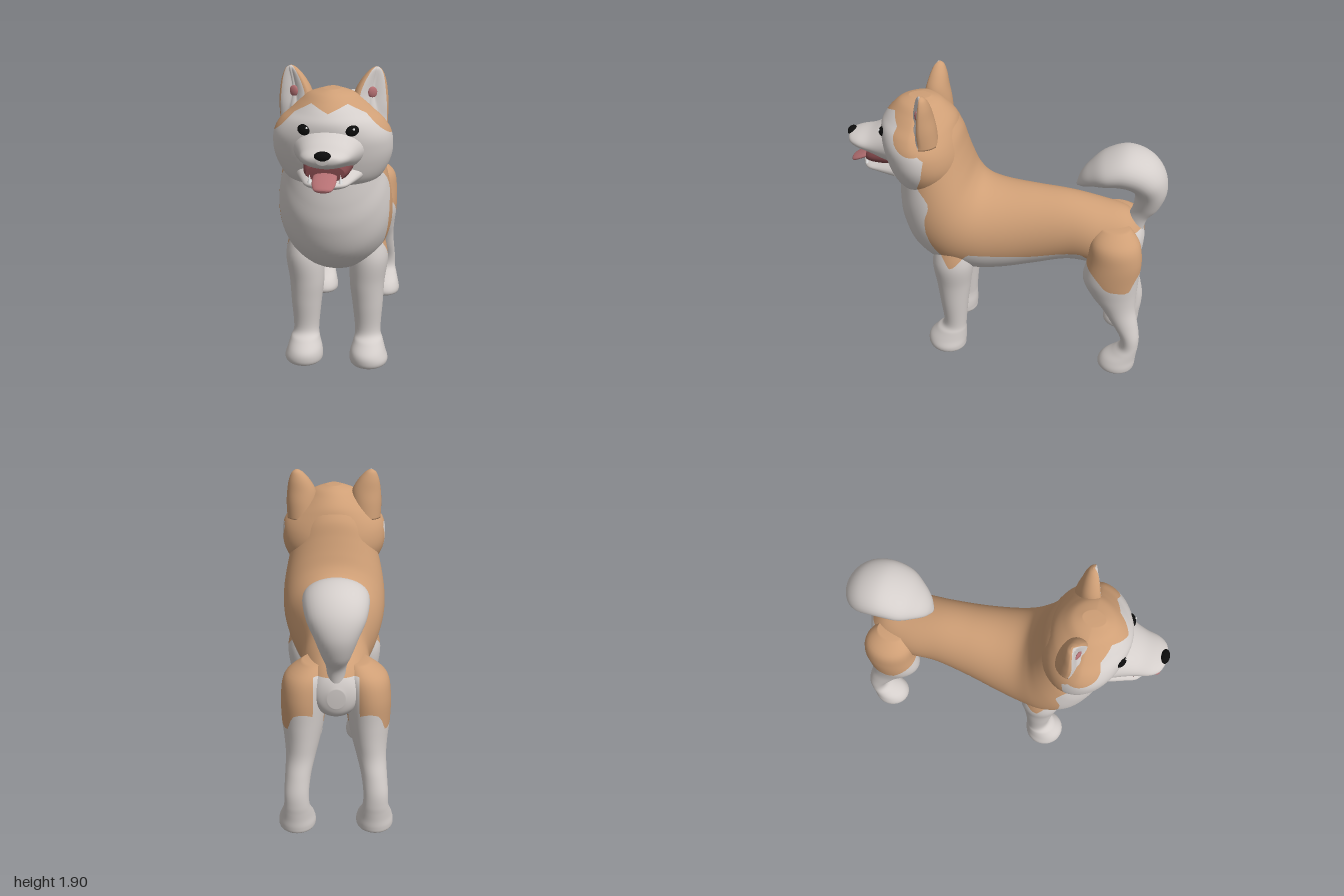
import * as THREE from 'three';

const material = (name, color, extra = {}) =>
  Object.assign(new THREE.MeshStandardMaterial({ color, ...extra }), { name });
const white = material('cream fur', 0xd4cecb);
const tan = material('tan fur', 0xcf9f76);
const black = material('black', 0x0c0c0c);
const pink = material('tongue pink', 0xb57073);
const maroon = material('mouth maroon', 0x7d4548);
const shine = material('eye shine', 0xf4f4f4);

// Smooth interpolation through rows of numbers, t in 0..1
function spline(rows, t) {
  const s = t * (rows.length - 1), i = Math.min(Math.floor(s), rows.length - 2), f = s - i;
  const row = k => rows[Math.max(0, Math.min(rows.length - 1, k))];
  return rows[i].map((b, c) => {
    const a = row(i - 1)[c], d = row(i + 1)[c], e = row(i + 2)[c];
    return b + 0.5 * f * (d - a + f * (2 * a - 5 * b + 4 * d - e + f * (3 * (b - d) + e - a)));
  });
}

// Straight interpolation through [key, value] pairs
function ramp(pairs, k) {
  if (k <= pairs[0][0]) return pairs[0][1];
  for (let i = 1; i < pairs.length; i++) {
    const [a, va] = pairs[i - 1], [b, vb] = pairs[i];
    if (k <= b) return va + (vb - va) * (k - a) / (b - a);
  }
  return pairs[pairs.length - 1][1];
}

// Cuts every triangle along sign = 0, giving one group on each side
function splitByColour(geo, sign) {
  const P = geo.attributes.position, N = geo.attributes.normal, idx = geo.index.array;
  const verts = sign.map((f, i) => ({
    f, p: new THREE.Vector3().fromBufferAttribute(P, i), n: new THREE.Vector3().fromBufferAttribute(N, i),
  }));
  const out = new THREE.BufferGeometry(), pos = [], nor = [];
  [-1, 1].forEach((side, group) => {
    const start = pos.length / 3;
    for (let t = 0; t < idx.length; t += 3) {
      const poly = [];
      for (let k = 0; k < 3; k++) {
        const a = verts[idx[t + k]], b = verts[idx[t + (k + 1) % 3]];
        if (a.f * side > 0) poly.push(a);
        if (a.f * b.f < 0) {
          const m = a.f / (a.f - b.f);
          poly.push({ p: a.p.clone().lerp(b.p, m), n: a.n.clone().lerp(b.n, m).normalize() });
        }
      }
      for (let k = 2; k < poly.length; k++)
        for (const v of [poly[0], poly[k - 1], poly[k]]) { pos.push(...v.p); nor.push(...v.n); }
    }
    out.addGroup(start, pos.length / 3 - start, group);
  });
  out.setAttribute('position', new THREE.Float32BufferAttribute(pos, 3));
  out.setAttribute('normal', new THREE.Float32BufferAttribute(nor, 3));
  return out;
}

// Closed skin over rings point(u, angle) -> [x, y, z]; isTan(x, y, z, u, angle) > 0 is tan
function skin(name, point, nu, nv, mat, isTan) {
  const pos = [], sign = [], index = [];
  const add = (p, u, a) => { pos.push(...p); if (isTan) sign.push(isTan(...p, u, a) || 1e-7); };
  for (let i = 0; i <= nu; i++)
    for (let j = 0; j < nv; j++) add(point(i / nu, j / nv * Math.PI * 2), i / nu, j / nv * Math.PI * 2);
  for (let i = 0; i < nu; i++)
    for (let j = 0; j < nv; j++) {
      const a = i * nv + j, b = i * nv + (j + 1) % nv;
      index.push(a, b, a + nv, b, b + nv, a + nv);
    }
  for (const u of [0, 1]) {
    const p = point(u, 0), q = point(u, Math.PI), c = pos.length / 3, r = u * nu * nv;
    add(p.map((v, k) => (v + q[k]) / 2), u, 0);
    for (let j = 0; j < nv; j++) {
      const a = r + j, b = r + (j + 1) % nv;
      index.push(...(u ? [c, a, b] : [c, b, a]));
    }
  }
  // Turn the faces outwards
  const v = k => new THREE.Vector3(...pos.slice(index[k] * 3, index[k] * 3 + 3));
  let volume = 0;
  for (let k = 0; k < index.length; k += 3) volume += v(k).dot(v(k + 1).cross(v(k + 2)));
  if (volume < 0) index.reverse();
  let geo = new THREE.BufferGeometry().setIndex(index);
  geo.setAttribute('position', new THREE.Float32BufferAttribute(pos, 3));
  geo.computeVertexNormals();
  if (isTan) geo = splitByColour(geo, sign);
  const mesh = new THREE.Mesh(geo, isTan ? [white, tan] : mat);
  mesh.name = name;
  return mesh;
}

// Rows [z, y of one edge, z, y of the opposite edge, half width]
const fan = rows => (u, a) => {
  const [z1, y1, z2, y2, w] = spline(rows, u), c = Math.cos(a) / 2;
  return [Math.max(w, 0) * Math.sin(a), (y1 + y2) / 2 + (y1 - y2) * c, (z1 + z2) / 2 + (z1 - z2) * c];
};
// Rows [y, x centre, z centre, x radius, z radius]
const column = (rows, side) => (u, a) => {
  const [y, x, z, rx, rz] = spline(rows, u);
  return [side * (x + rx * Math.cos(a)), Math.max(y, 0), z + rz * Math.sin(a)];
};

// Coat markings
const chestEdge = [[0.72, 0.31], [0.8, 0.36], [0.9, 0.42], [1, 0.45], [1.1, 0.455], [1.2, 0.42],
  [1.25, 0.45], [1.3, 0.5], [1.4, 0.46], [1.52, 0.44], [1.56, 0.5], [1.62, 0.9]];
const flankEdge = [[-0.9, 0.8], [-0.86, 0.76], [-0.82, 0.66], [-0.68, 0.68], [-0.62, 0.75], [-0.5, 0.85],
  [-0.2, 0.81], [0, 0.82], [0.2, 0.84], [0.25, 0.78], [0.31, 0.72], [0.4, 0.8]];
const maskEdge = [[0, 1.68], [0.1, 1.725], [0.2, 1.67], [0.28, 1.59], [0.34, 1.54]];
const coat = (x, y, z) => Math.min(ramp(chestEdge, y) - z, y - ramp(flankEdge, z),
  Math.max(Math.abs(x) - 0.13, z + 0.76, y - 1.0));
const faceCoat = (x, y, z) => Math.max(y - ramp(maskEdge, Math.abs(x)), ramp(chestEdge, Math.min(y, 1.54)) - z);

const bodyRows = [[-0.885, 0.94, -0.875, 0.82, 0.05], [-0.85, 1.02, -0.84, 0.76, 0.12],
  [-0.76, 1.11, -0.72, 0.71, 0.17], [-0.6, 1.15, -0.55, 0.72, 0.2], [-0.4, 1.19, -0.4, 0.72, 0.2],
  [-0.2, 1.205, -0.18, 0.66, 0.225], [0, 1.22, 0.02, 0.615, 0.265], [0.12, 1.25, 0.2, 0.605, 0.3],
  [0.18, 1.31, 0.42, 0.66, 0.335], [0.215, 1.4, 0.58, 0.79, 0.338], [0.245, 1.5, 0.655, 0.97, 0.315],
  [0.27, 1.59, 0.67, 1.12, 0.285], [0.31, 1.66, 0.665, 1.26, 0.265]];
const tailRows = [[-0.87, 0.95, -0.76, 1.05, 0.05], [-0.89, 1.05, -0.79, 1.12, 0.06],
  [-0.955, 1.14, -0.8, 1.17, 0.085], [-0.995, 1.27, -0.8, 1.23, 0.12], [-0.97, 1.4, -0.78, 1.275, 0.16],
  [-0.88, 1.5, -0.74, 1.295, 0.18], [-0.74, 1.54, -0.69, 1.3, 0.185], [-0.6, 1.49, -0.62, 1.295, 0.17],
  [-0.51, 1.41, -0.55, 1.285, 0.12], [-0.46, 1.34, -0.49, 1.265, 0.07], [-0.44, 1.27, -0.455, 1.26, 0.02]];
// Rows [y, z back, z front, half width]
const headRows = [[1.24, 0.33, 0.65, 0.24], [1.3, 0.28, 0.7, 0.29], [1.38, 0.25, 0.73, 0.33],
  [1.46, 0.25, 0.75, 0.345], [1.55, 0.27, 0.765, 0.335], [1.62, 0.29, 0.765, 0.295], [1.67, 0.31, 0.74, 0.24],
  [1.72, 0.35, 0.7, 0.185], [1.765, 0.4, 0.65, 0.13], [1.79, 0.46, 0.59, 0.05]];
const muzzleRows = [[0.66, 1.64, 0.66, 1.34, 0.22], [0.76, 1.59, 0.75, 1.36, 0.175],
  [0.84, 1.55, 0.82, 1.39, 0.148], [0.92, 1.53, 0.9, 1.42, 0.128], [0.97, 1.515, 0.96, 1.44, 0.09],
  [0.99, 1.5, 0.985, 1.46, 0.03]];
const jawRows = [[0.66, 1.4, 0.66, 1.26, 0.19], [0.78, 1.365, 0.78, 1.275, 0.145],
  [0.86, 1.345, 0.86, 1.288, 0.11], [0.9, 1.33, 0.9, 1.305, 0.04]];
const mouthRows = [[0.7, 1.47, 0.7, 1.32, 0.14], [0.82, 1.45, 0.82, 1.325, 0.125], [0.865, 1.43, 0.865, 1.335, 0.105]];
const tongueRows = [[0.8, 1.39, 0.8, 1.36, 0.06], [0.87, 1.385, 0.86, 1.35, 0.065],
  [0.93, 1.36, 0.92, 1.325, 0.065], [0.975, 1.335, 0.965, 1.305, 0.05], [0.985, 1.322, 0.98, 1.308, 0.02]];
const frontLegRows = [[0.88, 0.2, 0.31, 0.08, 0.1], [0.72, 0.2, 0.315, 0.115, 0.13], [0.55, 0.188, 0.315, 0.108, 0.112],
  [0.4, 0.192, 0.315, 0.095, 0.093], [0.22, 0.195, 0.315, 0.08, 0.076], [0.16, 0.2, 0.34, 0.092, 0.1],
  [0.1, 0.2, 0.365, 0.11, 0.125], [0.05, 0.205, 0.37, 0.12, 0.127], [0.015, 0.205, 0.365, 0.108, 0.115],
  [0, 0.205, 0.365, 0.06, 0.07]];
const hindLegRows = [[1.05, 0.12, -0.7, 0.07, 0.09], [0.97, 0.165, -0.71, 0.125, 0.15], [0.85, 0.185, -0.715, 0.13, 0.168],
  [0.7, 0.19, -0.7, 0.125, 0.175], [0.58, 0.195, -0.725, 0.105, 0.145], [0.48, 0.205, -0.765, 0.087, 0.107],
  [0.38, 0.22, -0.81, 0.076, 0.085], [0.28, 0.23, -0.85, 0.072, 0.064], [0.2, 0.23, -0.855, 0.074, 0.06],
  [0.15, 0.23, -0.83, 0.086, 0.08], [0.1, 0.23, -0.795, 0.1, 0.11], [0.05, 0.23, -0.78, 0.11, 0.122],
  [0.015, 0.23, -0.78, 0.1, 0.11], [0, 0.23, -0.78, 0.05, 0.06]];
const earRows = [[1.58, 0.21, 0.47, 0.1, 0.1], [1.68, 0.212, 0.478, 0.103, 0.098], [1.76, 0.215, 0.475, 0.095, 0.08],
  [1.83, 0.228, 0.468, 0.07, 0.06], [1.88, 0.24, 0.462, 0.038, 0.036], [1.9, 0.243, 0.458, 0.01, 0.01]];

const headPoint = (u, a) => {
  const [y, back, front, w] = spline(headRows, u);
  const s = Math.sin(a), pinch = 0.4 * THREE.MathUtils.smoothstep(y, 1.5, 1.7);
  return [w * Math.cos(a), y, (back + front) / 2 + (front - back) / 2 * s * Math.abs(s) ** pinch];
};
// Ear cone hollowed on its forward, outward side
const EAR_FACING = 1.15;
const earPoint = side => (u, a) => {
  const [y, x, z, rx, rz] = spline(earRows, u);
  const hollow = 1 - 0.8 * THREE.MathUtils.smoothstep(Math.cos(a - EAR_FACING), 0.25, 0.85) * Math.sin(Math.PI * u) ** 0.5;
  return [side * (x + rx * hollow * Math.cos(a)), y, z + rz * hollow * Math.sin(a)];
};

function ball(name, mat, [x, y, z], [rx, ry, rz]) {
  const mesh = new THREE.Mesh(new THREE.SphereGeometry(1, 24, 16), mat);
  mesh.name = name;
  mesh.position.set(x, y, z);
  mesh.scale.set(rx, ry, rz);
  return mesh;
}

export function createModel() {
  const dog = new THREE.Group();
  dog.name = 'dog';
  dog.add(
    skin('body', fan(bodyRows), 96, 64, white, coat),
    skin('head', headPoint, 64, 64, white, faceCoat),
    skin('tail', fan(tailRows), 64, 36, white),
    skin('muzzle', fan(muzzleRows), 32, 40, white),
    skin('lowerJaw', fan(jawRows), 20, 32, white),
    skin('mouth', fan(mouthRows), 12, 32, maroon),
    skin('tongue', fan(tongueRows), 24, 24, pink),
    ball('nose', black, [0, 1.505, 0.97], [0.046, 0.027, 0.03]),
  );
  for (const side of [1, -1]) {
    const label = side > 0 ? 'left' : 'right';
    const ear = earPoint(side);
    const eye = ball(label + 'Eye', black, [side * 0.13, 1.59, 0.728], [0.042, 0.032, 0.03]);
    eye.rotation.set(0, side * 0.4, side * 0.15);
    const spot = ball(label + 'EarSpot', pink, ear(0.4, EAR_FACING), [0.028, 0.032, 0.012]);
    spot.rotation.y = side * 0.4;
    const tooth = new THREE.Mesh(new THREE.ConeGeometry(0.012, 0.05, 10), shine);
    tooth.name = label + 'Tooth';
    tooth.position.set(side * 0.085, 1.355, 0.868);
    dog.add(
      skin(label + 'FrontLeg', column(frontLegRows, side), 60, 32, white, coat),
      skin(label + 'HindLeg', column(hindLegRows, side), 72, 32, white, coat),
      skin(label + 'Ear', ear, 36, 48, white, (x, y, z, u, a) => 0.4 - Math.cos(a - EAR_FACING)),
      eye, spot, tooth,
      ball(label + 'EyeShine', shine, [side * 0.13 + 0.014, 1.603, 0.752], [0.007, 0.007, 0.006]),
    );
  }
  return dog;
}
